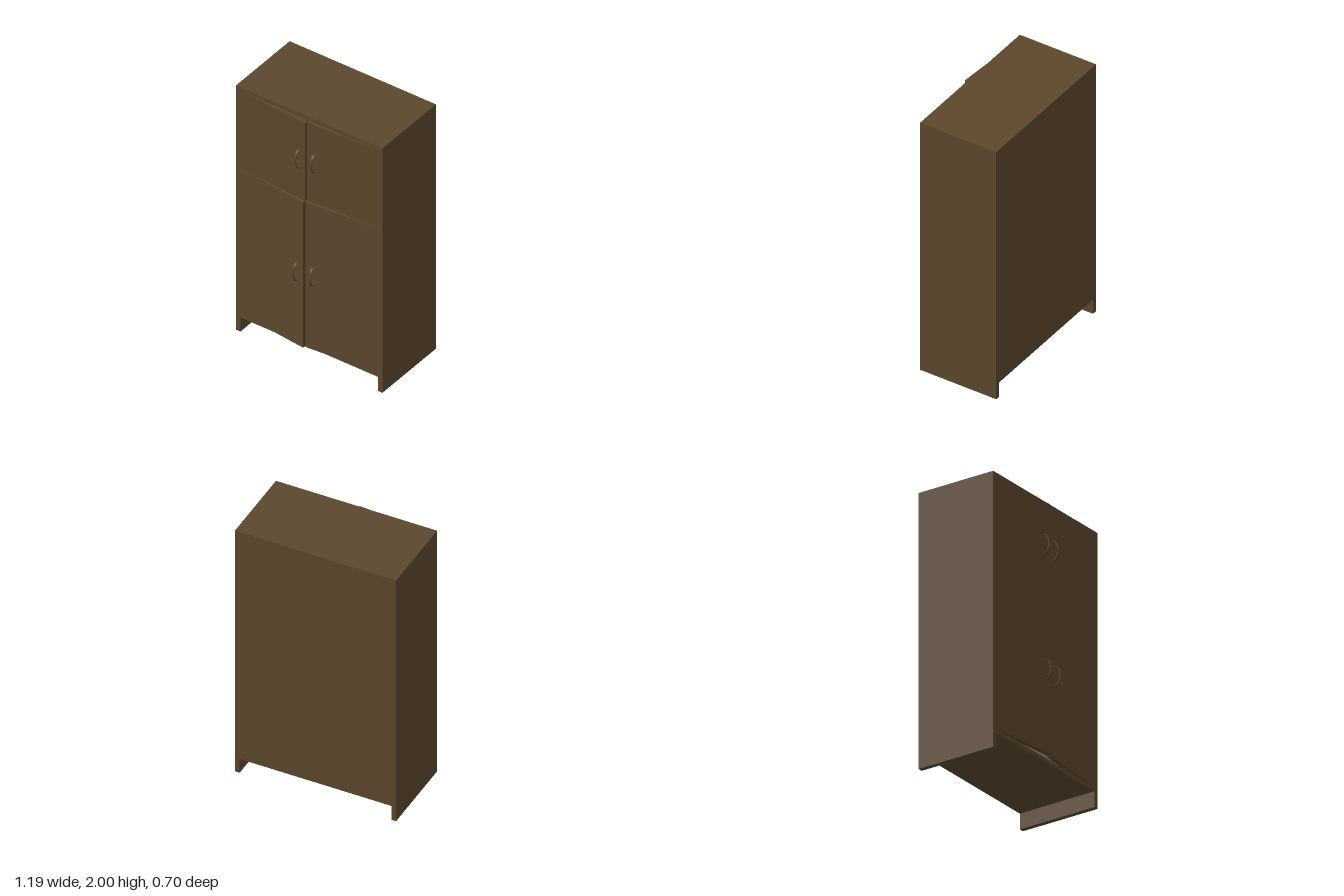
import * as THREE from 'three';

export function createModel() {
  const model = new THREE.Group();
  const wood = new THREE.MeshStandardMaterial({ color: 0x5b472d });
  wood.name = 'brown wood';

  // Box panel given by its min and max corners
  function panel(name, x0, x1, y0, y1, z0, z1, parent = model) {
    const mesh = new THREE.Mesh(new THREE.BoxGeometry(x1 - x0, y1 - y0, z1 - z0), wood);
    mesh.position.set((x0 + x1) / 2, (y0 + y1) / 2, (z0 + z1) / 2);
    mesh.name = name;
    parent.add(mesh);
  }

  // Carcass: side panels reach the floor, the rest sits between them
  const W = 0.593, T = 0.035, I = W - T, BACK = -0.35, FRONT = 0.25;
  panel('rightSide', -W, -I, 0, 2, BACK, FRONT);
  panel('leftSide', I, W, 0, 2, BACK, FRONT);
  panel('top', -I, I, 1.97, 2, BACK, FRONT);
  panel('bottom', -I, I, 0.115, 0.145, BACK, FRONT);
  panel('back', -I, I, 0.145, 1.97, BACK, BACK + 0.02);
  panel('shelf', -I, I, 1.315, 1.345, BACK + 0.02, FRONT - 0.04);

  // Bowed pull handle, flared towards its two feet
  const arc = [];
  for (let i = 0; i <= 16; i++) {
    const t = Math.PI * i / 16;
    arc.push(new THREE.Vector3(0, -0.07 * Math.cos(t), 0.037 * Math.sin(t)));
  }
  const handleGeo = new THREE.TubeGeometry(new THREE.CatmullRomCurve3(arc), 32, 0.005, 10);
  const p = handleGeo.attributes.position;
  for (let i = 0; i < p.count; i++) {
    const k = p.getY(i) / 0.07;
    p.setX(i, p.getX(i) * (1.3 + 1.2 * k * k));
  }
  handleGeo.computeVertexNormals();

  // Doors standing slightly ajar; side is -1 or 1, swing is how far the free edge stands out
  function door(name, side, y0, y1, swing, handleY) {
    const hinge = new THREE.Group();
    hinge.name = name;
    hinge.position.set(side * I, 0, FRONT);
    hinge.rotation.y = side * Math.asin(swing / I);
    const free = -side * (I - 0.002);
    panel(name + 'Panel', Math.min(0, free), Math.max(0, free), y0, y1, -0.033, 0, hinge);
    const handle = new THREE.Mesh(handleGeo, wood);
    handle.name = name + 'Handle';
    handle.position.set(-side * (I - 0.057), handleY, 0);
    hinge.add(handle);
    model.add(hinge);
  }
  door('upperRightDoor', -1, 1.335, 1.97, 0.041, 1.657);
  door('upperLeftDoor', 1, 1.335, 1.97, 0.027, 1.657);
  door('lowerRightDoor', -1, 0.146, 1.332, 0.062, 0.743);
  door('lowerLeftDoor', 1, 0.146, 1.332, 0.046, 0.743);

  return model;
}
